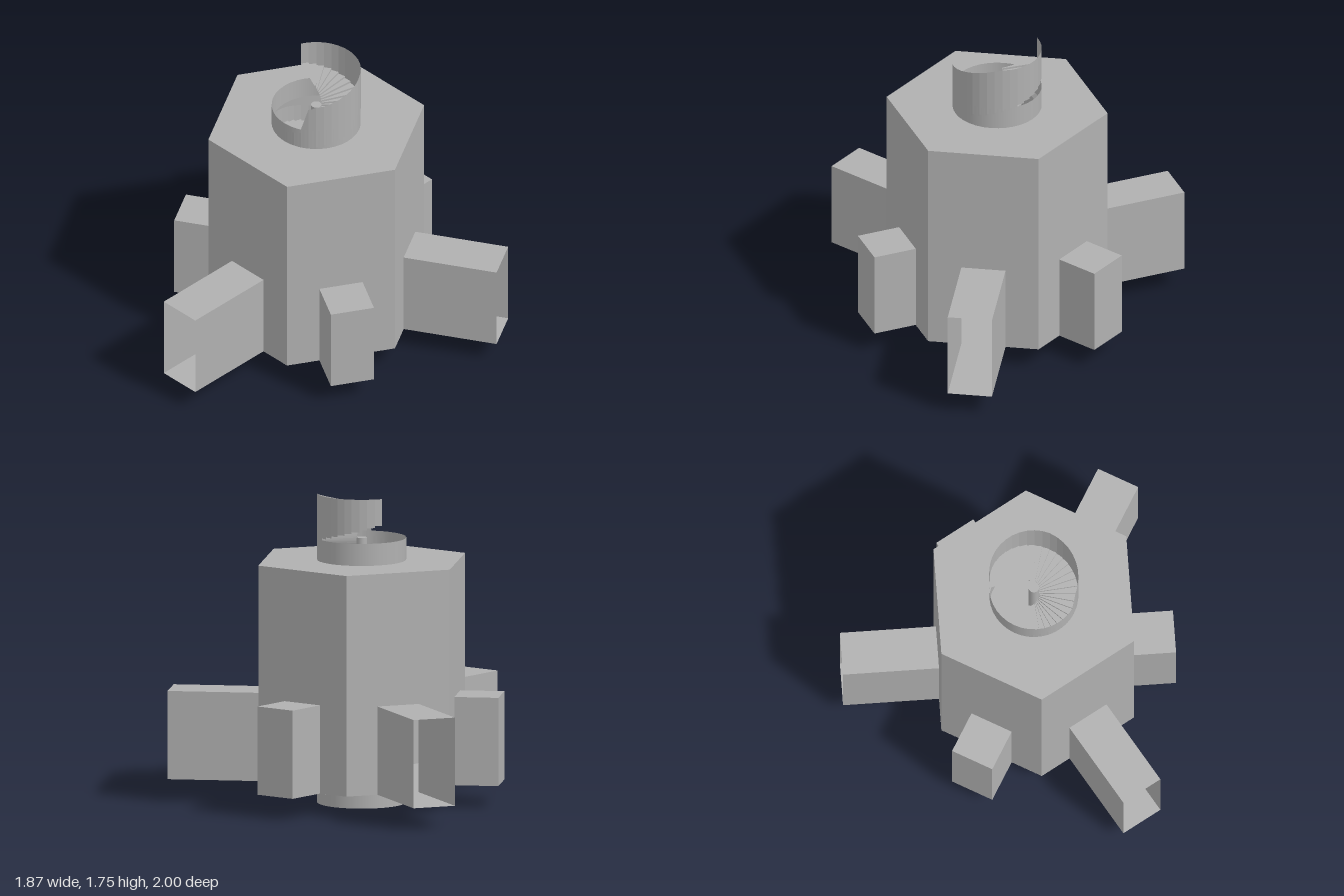
import * as THREE from 'three';

const APOTHEM = 0.541, SIDE = 0.625, FLOOR = 0.125, ROOF = 1.375;
const DOOR_W = 0.25, DOOR_H = 0.5, SHAFT_R = 0.25, POST_R = 0.03;

// Flat-shaded sheet from four-cornered faces
function sheet(quads) {
  const pos = [];
  for (const [a, b, c, d] of quads) pos.push(...a, ...b, ...c, ...a, ...c, ...d);
  const g = new THREE.BufferGeometry();
  g.setAttribute('position', new THREE.Float32BufferAttribute(pos, 3));
  g.computeVertexNormals();
  return g;
}

export function createModel() {
  const grey = new THREE.MeshStandardMaterial({ color: 0xb0b0b0, side: THREE.DoubleSide });
  grey.name = 'plain grey';
  const model = new THREE.Group();
  model.name = 'hexagonalTower';
  model.position.x = -0.145;
  const add = (name, geometry, parent = model) => {
    const m = new THREE.Mesh(geometry, grey);
    m.name = name;
    parent.add(m);
    return m;
  };

  // Floor and roof: hexagons with a round hole for the stair shaft
  const hex = new THREE.Shape();
  for (let i = 0; i < 6; i++) {
    const a = Math.PI / 6 + i * Math.PI / 3;
    hex[i ? 'lineTo' : 'moveTo'](SIDE * Math.cos(a), SIDE * Math.sin(a));
  }
  hex.closePath();
  const hole = new THREE.Path();
  hole.absarc(0, 0, SHAFT_R, 0, Math.PI * 2, true);
  hex.holes.push(hole);
  const slab = new THREE.ShapeGeometry(hex, 18);
  add('floor', slab.clone().rotateX(Math.PI / 2)).position.y = FLOOR;
  add('roof', slab.clone().rotateX(-Math.PI / 2)).position.y = ROOF;

  // Wall panel with a doorway notch at its foot
  const w = SIDE / 2, d = DOOR_W / 2;
  const panel = new THREE.Shape([
    [-w, 0], [-d, 0], [-d, DOOR_H], [d, DOOR_H], [d, 0], [w, 0],
    [w, ROOF - FLOOR], [-w, ROOF - FLOOR],
  ].map(([x, y]) => new THREE.Vector2(x, y)));
  const panelGeo = new THREE.ShapeGeometry(panel);
  panelGeo.rotateY(Math.PI / 2).translate(APOTHEM, FLOOR, 0);

  // Six sides: long open passages alternate with short closed ones
  for (let i = 0; i < 6; i++) {
    const long = i % 2 === 0;
    const side = new THREE.Group();
    side.name = 'side' + (i + 1);
    side.rotation.y = -i * Math.PI / 3;
    model.add(side);
    add('wall', panelGeo, side);

    const x0 = APOTHEM, x1 = long ? 1.08 : 0.79, y0 = FLOOR, y1 = FLOOR + DOOR_H;
    const faces = [
      [[x0, y1, d], [x1, y1, d], [x1, y1, -d], [x0, y1, -d]],
      [[x0, y0, -d], [x1, y0, -d], [x1, y0, d], [x0, y0, d]],
      [[x0, y0, d], [x1, y0, d], [x1, y1, d], [x0, y1, d]],
      [[x1, y0, -d], [x0, y0, -d], [x0, y1, -d], [x1, y1, -d]],
    ];
    if (!long) faces.push([[x1, y0, d], [x1, y0, -d], [x1, y1, -d], [x1, y1, d]]);
    add(long ? 'longPassage' : 'shortAlcove', sheet(faces), side);
  }

  // Round collars below the floor and above the roof
  const collar = new THREE.CylinderGeometry(SHAFT_R, SHAFT_R, 0.125, 36, 1, true);
  add('lowerCollar', collar).position.y = 0.0625;
  add('upperCollar', collar).position.y = ROOF + 0.0625;

  // Central post of the stair
  add('post', new THREE.CylinderGeometry(POST_R, POST_R, 1.4, 16)).position.y = 0.8;

  // Spiral stair with a helical outer wall
  const STEPS = 133, PER_TURN = 36, RISE = 0.4 / PER_TURN;
  const angle = i => THREE.MathUtils.degToRad(215 - (STEPS - i) * 360 / PER_TURN);
  const height = i => 1.61 - (STEPS - i) * RISE;
  const at = (i, r, y) => [r * Math.sin(angle(i)), y, r * Math.cos(angle(i))];
  const stairs = [], wall = [];
  const topStart = STEPS - 22;
  for (let i = 0; i < STEPS; i++) {
    const y = height(i), up = y + RISE, R = SHAFT_R, j = i + 1;
    stairs.push(
      [at(i, POST_R, up), at(i, R, up), at(j, R, up), at(j, POST_R, up)],
      [at(i, POST_R, y), at(i, R, y), at(i, R, up), at(i, POST_R, up)]);
    // The last part of the wall rises to a flat rim
    const rail = k => i >= topStart ? Math.min(height(k) + 0.27, 1.75) : height(k) + 0.11;
    const left = i === topStart ? 1.5 : rail(i);
    wall.push([at(i, R, y), at(j, R, y), at(j, R, rail(j)), at(i, R, left)]);
  }
  add('spiralStairs', sheet(stairs));
  add('spiralWall', sheet(wall));

  const root = new THREE.Group();
  root.name = 'model';
  root.add(model);
  return root;
}
